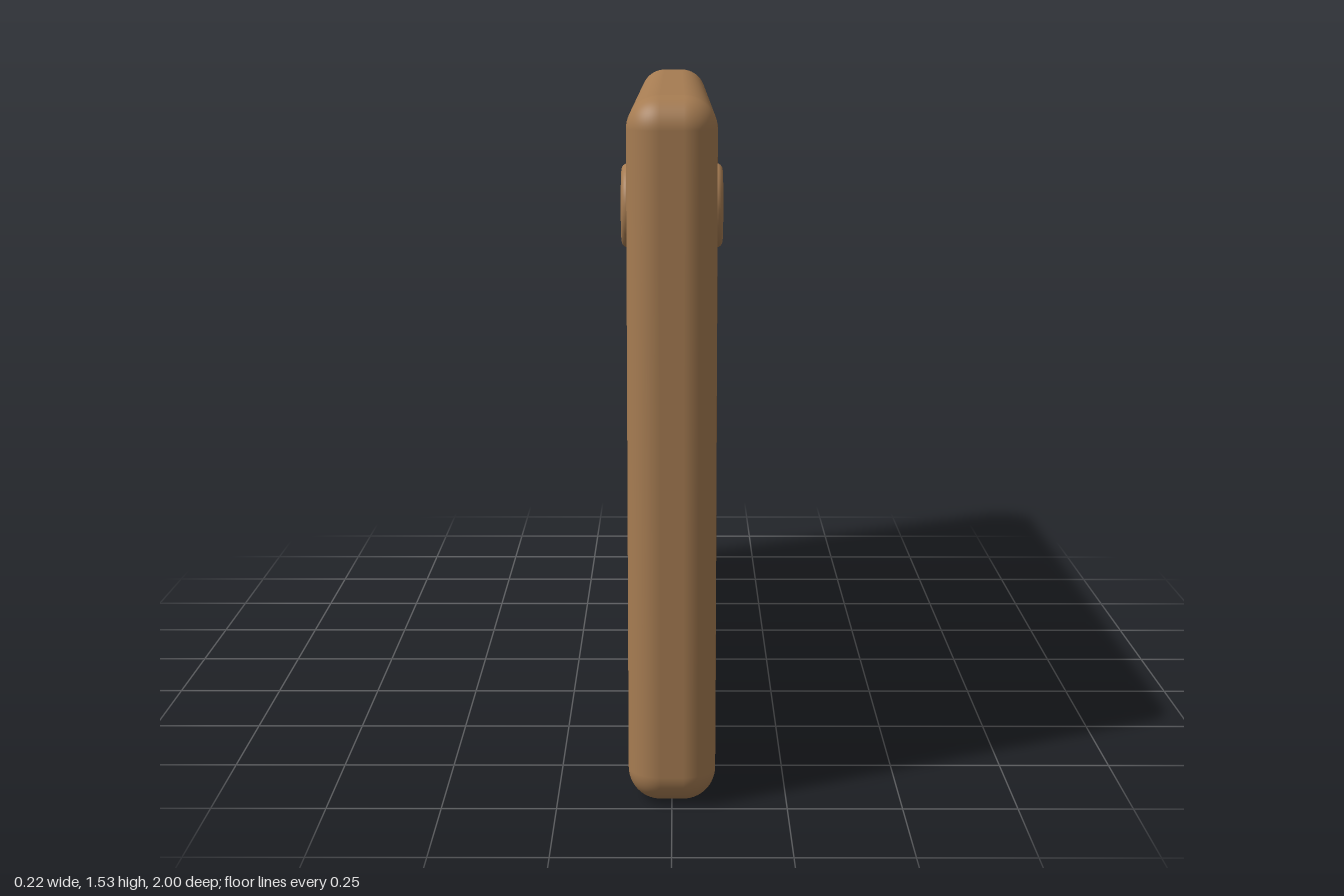
import * as THREE from 'three';
import { RoundedBoxGeometry } from 'three/addons/geometries/RoundedBoxGeometry.js';

const HEIGHT = 1.53;

export function createModel() {
  const model = new THREE.Group();
  const wood = new THREE.MeshStandardMaterial({ color: 0xa67c52 });
  const darkWood = new THREE.MeshStandardMaterial({ color: 0x8a6440 });

  const add = (name, geometry, material, x, y, z) => {
    const mesh = new THREE.Mesh(geometry, material);
    mesh.name = name;
    mesh.position.set(x, y, z);
    model.add(mesh);
    return mesh;
  };

  // Thick panel with softly rounded edges
  add('panel', new RoundedBoxGeometry(0.19, HEIGHT, 2, 8, 0.07), wood, 0, HEIGHT / 2, 0);

  const seam = new RoundedBoxGeometry(0.02, 1.39, 0.02, 3, 0.006);
  const ring = new THREE.TorusGeometry(0.077, 0.0145, 16, 48);

  for (const side of [1, -1]) {
    const label = side > 0 ? 'left' : 'right';
    // Raised plank seams on both faces
    [-0.708, -0.236, 0.236, 0.708].forEach((z, i) =>
      add(`${label}Seam${i + 1}`, seam, darkWood, side * 0.09, HEIGHT / 2, z));
    // Ring handle near the upper front corner
    add(`${label}RingHandle`, ring, wood, side * 0.095, 1.285, 0.755).rotation.y = Math.PI / 2;
  }
  return model;
}
